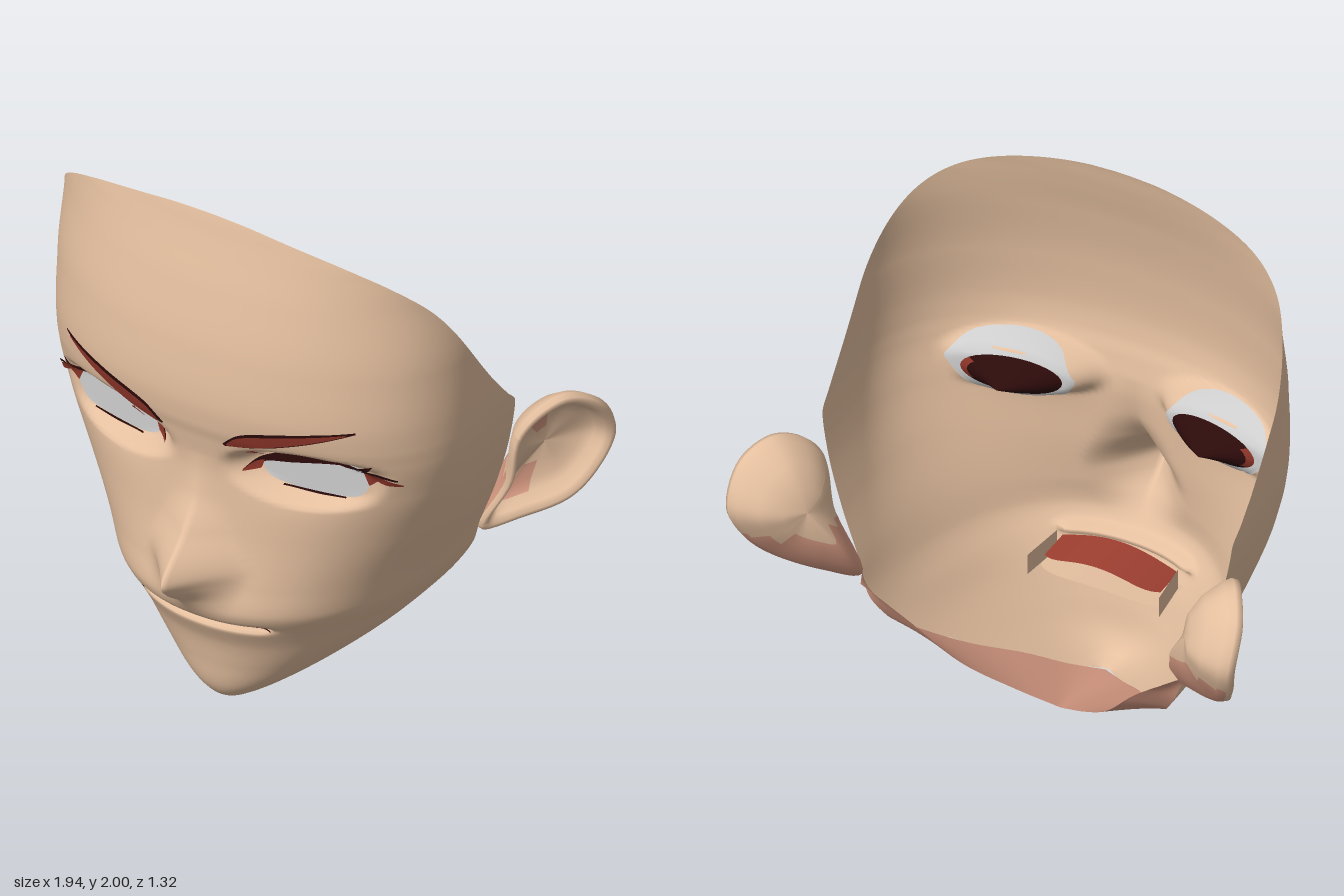
import * as THREE from 'three';

const mat = (name, color) => new THREE.MeshStandardMaterial({ name, color, side: THREE.DoubleSide });
const skin = mat('skin', 0xe4bf9f);
const shadowSkin = mat('shadowSkin', 0xd49881);
const white = mat('eyeWhite', 0xcdcdcd);
const red = mat('darkRed', 0x8a3428);
const dark = mat('lashDark', 0x2c0a0a);
const mouthRed = mat('mouthRed', 0xa04032);

// Smooth interpolation of column c in a table sorted by descending height
function sample(table, y, c) {
  const n = table.length - 1;
  let i = 0;
  while (i < n - 1 && y < table[i + 1][0]) i++;
  const slope = k => (table[k + 1][c] - table[k][c]) / (table[k + 1][0] - table[k][0]);
  const tangent = k => {
    if (k === 0) return slope(0);
    if (k === n) return slope(n - 1);
    const a = slope(k - 1), b = slope(k);
    return a * b <= 0 ? 0 : (2 * a * b) / (a + b);
  };
  const h = table[i + 1][0] - table[i][0];
  const t = THREE.MathUtils.clamp((y - table[i][0]) / h, 0, 1), t2 = t * t, t3 = t2 * t;
  return (2 * t3 - 3 * t2 + 1) * table[i][c] + (t3 - 2 * t2 + t) * h * tangent(i)
    + (3 * t2 - 2 * t3) * table[i + 1][c] + (t3 - t2) * h * tangent(i + 1);
}

// Face: height, centre depth, half width, depth at full width, back edge
const FACE = [
  [2.0, .355, .755, 0, .3549], [1.98, .36, .76, 0, .345], [1.925, .372, .766, 0, .297],
  [1.865, .387, .768, -.015, .238], [1.735, .42, .772, -.04, .12], [1.5, .463, .787, -.04, -.04],
  [1.315, .477, .787, -.03, -.175], [1.22, .468, .785, -.03, -.255], [1.155, .452, .78, -.03, -.31],
  [1.0, .43, .755, -.06, -.315],
  [.8, .44, .7, -.15, -.32], [.6, .468, .625, -.25, -.33], [.5, .485, .59, -.3, -.345],
  [.4, .44, .535, -.3, -.31], [.3, .39, .455, -.2, -.205], [.2, .365, .345, -.08, -.08],
  [.1, .343, .205, .08, .08], [.03, .3, .085, .18, .18], [.005, .24, .02, .235, .235],
];
// Nose: height, projection, half width
const NOSE = [[1.08, 0, .1], [.92, .025, .11], [.8, .093, .15], [.66, .203, .2], [.61, .16, .19],
  [.535, .055, .17], [.48, .01, .14], [.45, 0, .12]];

const bell = (d, s) => Math.exp(-(d * d) / (s * s));

// Depth of the face surface, with flat eye sockets, nose and the mouth groove
function faceZ(x, y) {
  const ax = Math.abs(x);
  const zf = sample(FACE, y, 1), w = sample(FACE, y, 2), z0 = sample(FACE, y, 3);
  const curve = Math.pow(Math.max(0, 1 - Math.pow(Math.min(1, ax / w), 2.2)), 1 / 2.2);
  let z = z0 + (zf - z0) * curve;
  z -= .03 * bell(ax - .35, .17) * bell(y - 1.07, .1);
  const socket = 1 - THREE.MathUtils.smoothstep(Math.hypot((ax - .395) / .215, (y - 1.07) / .085), .9, 1.45);
  z = THREE.MathUtils.lerp(z, Math.min(z, .375 - .2 * ax), socket);
  z -= .045 * bell(y - .42, .014) * THREE.MathUtils.smoothstep(.275 - ax, 0, .06);
  if (y < 1.08 && y > .45)
    z += sample(NOSE, y, 1) * Math.pow(Math.max(0, 1 - ax / sample(NOSE, y, 2)), 1.5);
  return z;
}

// Half of one horizontal section, from the centre line to the rim
function section(y, count) {
  const zf = sample(FACE, y, 1), w = sample(FACE, y, 2), z0 = sample(FACE, y, 3), zb = sample(FACE, y, 4);
  const cut = THREE.MathUtils.clamp((zb - z0) / (zf - z0), 0, 1);
  const end = Math.asin(Math.max(.005, Math.pow(1 - Math.pow(cut, 2.2), 1 / 2.2)));
  const pts = [];
  for (let i = 0; i <= 60; i++) {
    const x = w * Math.sin(end * i / 60);
    pts.push(new THREE.Vector2(x, faceZ(x, y)));
  }
  if (z0 - zb > .002)
    for (let i = 1; i <= 4; i++) pts.push(new THREE.Vector2(w, z0 + (zb - z0) * i / 4));
  return new THREE.SplineCurve(pts).getSpacedPoints(count);
}

// Mesh from a grid of points; pick(row, column) may choose the second material
function sheet(name, rows, cols, point, materials, pick = () => 0) {
  const pos = [], lists = [[], []];
  for (let r = 0; r <= rows; r++)
    for (let c = 0; c <= cols; c++) pos.push(...point(r / rows, c / cols, r, c));
  for (let r = 0; r < rows; r++)
    for (let c = 0; c < cols; c++) {
      const a = r * (cols + 1) + c, b = a + cols + 1;
      lists[pick(r, c)].push(a, b, a + 1, b, b + 1, a + 1);
    }
  const g = new THREE.BufferGeometry();
  g.setAttribute('position', new THREE.Float32BufferAttribute(pos, 3));
  g.setIndex([...lists[0], ...lists[1]]);
  g.addGroup(0, lists[0].length, 0);
  g.addGroup(lists[0].length, lists[1].length, 1);
  g.computeVertexNormals();
  const mesh = new THREE.Mesh(g, materials);
  mesh.name = name;
  return mesh;
}

// Thin plate following the face between an upper and a lower line
function plate(name, side, upper, lower, offset, material) {
  const line = p => new THREE.SplineCurve(p.map(q => new THREE.Vector2(...q)));
  const up = line(upper), low = line(lower);
  return sheet(name, 8, 28, (v, u) => {
    const p = up.getPoint(u).lerp(low.getPoint(u), v);
    return [side * p.x, p.y, faceZ(p.x, p.y) + offset];
  }, [material, material]);
}

function makeFace() {
  const half = 50, rows = 240;
  const sections = [];
  // Rows crowd towards the top rim and the chin
  const heightAt = v => 1.0025 + .9975 * Math.sin((.5 - v) * 2.4) / Math.sin(1.2);
  for (let r = 0; r <= rows; r++) sections.push(section(heightAt(r / rows), half));
  return sheet('face', rows, half * 2, (v, u, r, c) => {
    const p = sections[r][Math.abs(c - half)];
    return [Math.sign(c - half) * p.x, heightAt(v), p.y];
  }, [skin, skin]);
}

function makeJawUnderside() {
  const neck = new THREE.CatmullRomCurve3([[0, .05, -.075], [.13, .13, -.15], [.28, .265, -.265],
    [.43, .44, -.35], [.58, .58, -.41]].map(p => new THREE.Vector3(...p)));
  return sheet('jawUnderside', 64, 6, (t, u) => {
    const k = Math.abs(t * 2 - 1), y = .005 + .565 * k;
    const p = new THREE.Vector3(sample(FACE, y, 2), y, sample(FACE, y, 4)).lerp(neck.getPoint(k), u);
    return [Math.sign(t - .5) * p.x, p.y, p.z];
  }, [shadowSkin, shadowSkin]);
}

function makeEar(side) {
  const rim = new THREE.CatmullRomCurve3([[.775, 1.0, -.32], [.825, 1.09, -.375], [.89, 1.13, -.47],
    [.952, 1.07, -.575], [.96, .92, -.65], [.925, .785, -.6], [.86, .68, -.52], [.72, .6, -.42],
    [.62, .565, -.335], [.735, .8, -.325]].map(p => new THREE.Vector3(...p)), true);
  const centre = new THREE.Vector3(.825, .89, -.46), normal = new THREE.Vector3(.83, -.12, .54).normalize();
  // Scale and lift of each ring: back, rolled rim, groove, bowl
  const rings = [[.01, -.13], [.4, -.13], [.7, -.095], [.93, -.04], [1, -.01], [.98, .012], [.9, .018],
    [.82, .002], [.72, -.03], [.55, -.045], [.3, -.05], [.01, -.05]];
  const point = (r, u) => rim.getPoint(u % 1).sub(centre).multiplyScalar(rings[r][0]).add(centre)
    .addScaledVector(normal, rings[r][1]);
  return sheet('ear', rings.length - 1, 64, (v, u, r) => {
    const p = point(r, u);
    return [side * p.x, p.y, p.z];
  }, [skin, shadowSkin], (r, c) => {
    // Darker skin under the back of the ear and on two folds of the bowl
    const u = (c + .5) / 64;
    if (r < 4) return (point(r, u).y + point(r + 1, u).y) / 2 < .81 ? 1 : 0;
    return (r === 8 || r === 9) && ((u > .04 && u < .15) || (u > .69 && u < .78)) ? 1 : 0;
  });
}

function makeEye(side) {
  const eye = new THREE.Group();
  eye.name = 'eye';
  eye.add(
    plate('eyeWhite', side, [[.2, 1.075], [.31, 1.098], [.45, 1.125], [.55, 1.135], [.592, 1.115]],
      [[.2, 1.065], [.23, 1.022], [.32, 1.0], [.48, 1.0], [.555, 1.025], [.592, 1.1]], .01, white),
    plate('upperLash', side, [[.155, 1.05], [.2, 1.095], [.29, 1.135], [.4, 1.16], [.52, 1.165], [.615, 1.176]],
      [[.16, 1.045], [.22, 1.08], [.31, 1.096], [.45, 1.124], [.56, 1.137], [.605, 1.16]], .018, dark),
    plate('lowerLash', side, [[.28, 1.006], [.4, 1.004], [.5, 1.006]], [[.28, 1.0], [.4, .994], [.5, 1.0]], .018, dark),
    plate('outerCorner', side, [[.55, 1.138], [.58, 1.145], [.625, 1.135]],
      [[.578, 1.07], [.588, 1.075], [.615, 1.1]], .014, red),
    plate('outerLashWing', side, [[.57, 1.145], [.62, 1.13], [.685, 1.077]],
      [[.58, 1.12], [.615, 1.1], [.68, 1.073]], .018, red),
    plate('outerLashTip', side, [[.56, 1.16], [.615, 1.15], [.675, 1.107]],
      [[.56, 1.147], [.61, 1.138], [.673, 1.1]], .022, dark),
    plate('innerCorner', side, [[.155, 1.05], [.185, 1.075], [.215, 1.085]],
      [[.155, 1.043], [.185, 1.045], [.203, 1.05]], .022, red),
    plate('lidCrease', side, [[.2, 1.165], [.23, 1.18], [.26, 1.175]], [[.2, 1.16], [.23, 1.17], [.26, 1.168]], .014, red),
    plate('eyeBack', side, [[.175, 1.08], [.25, 1.16], [.4, 1.195], [.55, 1.175], [.62, 1.1]],
      [[.175, 1.06], [.23, .995], [.36, .955], [.51, .975], [.62, 1.09]], -.012, white),
    // Hollow tapering back behind the eye
    sheet('eyeHollow', 6, 32, (v, u) => {
      const s = 1 - v * .99, a = u * Math.PI * 2;
      const x = .385 + .175 * s * Math.cos(a), y = 1.07 + .072 * s * Math.sin(a);
      return [side * x, y, THREE.MathUtils.lerp(faceZ(x, y) - .016, .18, v)];
    }, [dark, red], (r, c) => (r === 0 && (c < 3 || c > 28) ? 1 : 0)),
  );
  return eye;
}

function makeBrow(side) {
  const brow = new THREE.Group();
  brow.name = 'eyebrow';
  brow.add(
    plate('browEdge', side, [[.118, 1.178], [.2, 1.245], [.38, 1.292], [.575, 1.324]],
      [[.125, 1.17], [.25, 1.2], [.42, 1.258], [.575, 1.317]], .014, dark),
    plate('browFill', side, [[.135, 1.185], [.2, 1.236], [.38, 1.284], [.55, 1.317]],
      [[.14, 1.178], [.25, 1.206], [.42, 1.264], [.55, 1.312]], .02, red),
  );
  return brow;
}

function makeMouth() {
  const mouth = new THREE.Group();
  mouth.name = 'mouth';
  const arch = (name, y, rise, width, z0, z1, m) => sheet(name, 4, 20, (v, u) => {
    const x = (u * 2 - 1) * width;
    const back = z0 + .04 * Math.pow(Math.abs(x / width), 6);
    return [x, y + rise * Math.cos(x / width * Math.PI / 2), THREE.MathUtils.lerp(back, z1, v)];
  }, [m, m]);
  mouth.add(
    plate('mouthLine', 1, [[-.255, .424], [0, .424], [.255, .424]], [[-.255, .414], [0, .416], [.255, .414]], .01, dark),
    arch('palate', .42, .05, .22, .175, .34, mouthRed),
    arch('mouthFloor', .37, .01, .24, .18, .34, skin),
  );
  // Side walls of the mouth
  for (const s of [-1, 1])
    mouth.add(sheet('mouthWall', 1, 1, (v, u) => [s * (.25 - .02 * u), .37 + .08 * v, .15 + .17 * u], [skin, skin]));
  return mouth;
}

export function createModel() {
  const model = new THREE.Group();
  model.name = 'faceMask';
  model.add(makeFace(), makeJawUnderside(), makeMouth());
  for (const side of [1, -1]) model.add(makeEar(side), makeEye(side), makeBrow(side));
  return model;
}
